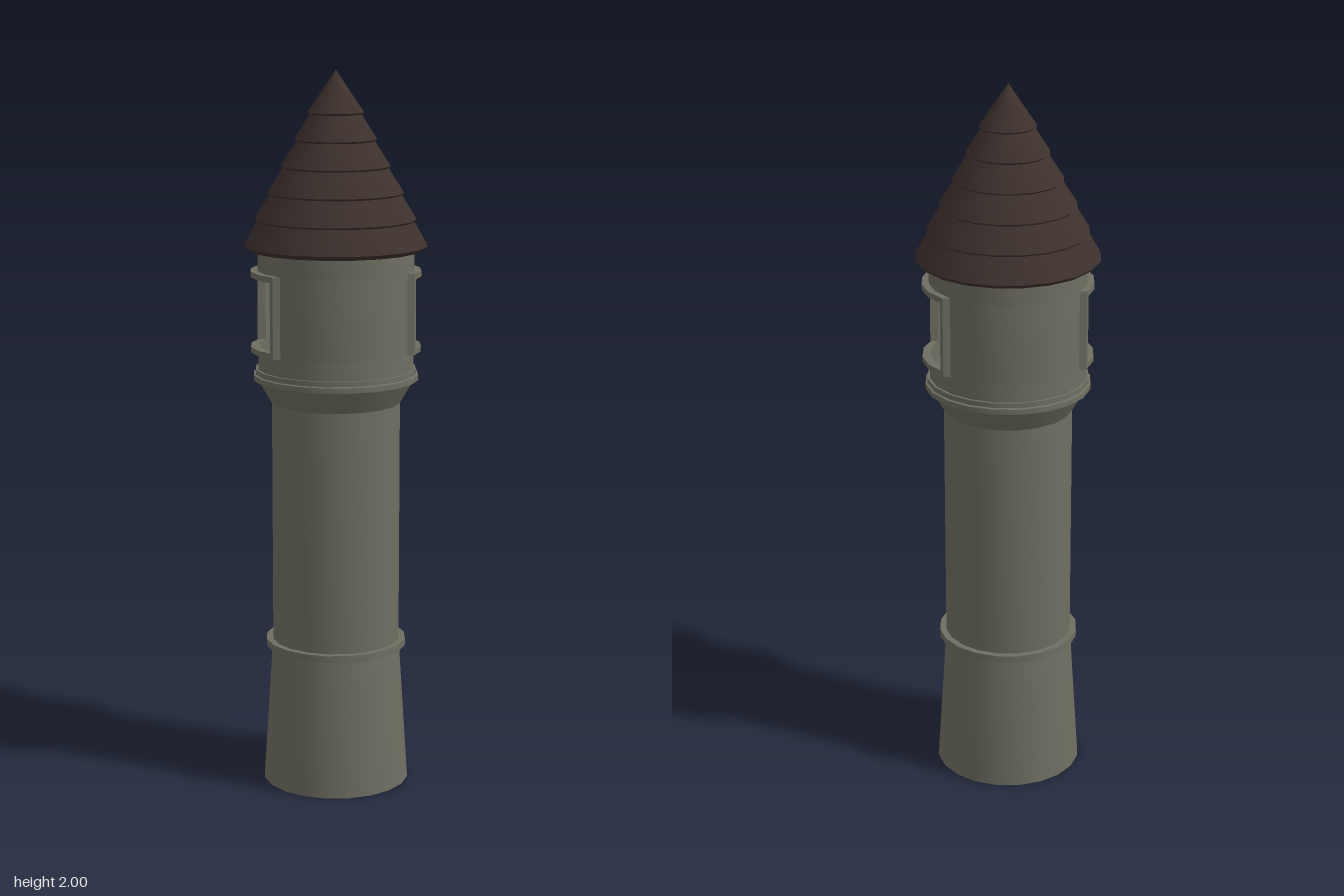
import * as THREE from 'three';
import { toCreasedNormals } from 'three/addons/utils/BufferGeometryUtils.js';

const SIDES = 20;
const STEP = (Math.PI * 2) / SIDES;
const R = 0.216; // watch room radius

const stone = new THREE.MeshStandardMaterial({ color: 0x6e6e62, side: THREE.DoubleSide });
const tiles = new THREE.MeshStandardMaterial({ color: 0x3d312d, side: THREE.DoubleSide });

// Revolve [radius, height] pairs over a number of facets, starting at a facet
function turned(name, profile, material = stone, start = 0, count = SIDES) {
  const points = profile.map(([r, y]) => new THREE.Vector2(r, y));
  const geometry = new THREE.LatheGeometry(points, count, start * STEP, count * STEP);
  const mesh = new THREE.Mesh(toCreasedNormals(geometry, 0.4), material);
  mesh.name = name;
  return mesh;
}

// Bar that follows the wall line [x, z] and sticks out along x
function wallBar(name, line, y0, y1) {
  const outer = line.map(([x, z]) => new THREE.Vector2(x + 0.02, z));
  const inner = line.map(([x, z]) => new THREE.Vector2(x - 0.003, z)).reverse();
  const geometry = new THREE.ExtrudeGeometry(new THREE.Shape([...outer, ...inner]), {
    depth: y1 - y0, bevelEnabled: false,
  });
  geometry.rotateX(-Math.PI / 2).translate(0, y0, 0);
  const mesh = new THREE.Mesh(geometry, stone);
  mesh.name = name;
  return mesh;
}

// Frame around one window, four facets wide
function windowFrame(name) {
  const frame = new THREE.Group();
  frame.name = name;
  const line = [-2, -1, 0, 1, 2].map((i) => [R * Math.cos(i * STEP), R * Math.sin(i * STEP)]);
  frame.add(wallBar('sill', line, 1.235, 1.25));
  frame.add(wallBar('lintel', line, 1.442, 1.458));
  for (const s of [-1, 1]) {
    const [x0, z0] = line[4];
    const [x1, z1] = line[3];
    const t = 0.2;
    const edge = [[x0 + (x1 - x0) * t, s * (z0 + (z1 - z0) * t)], [x0, s * z0]];
    frame.add(wallBar('jamb', edge, 1.25, 1.442));
  }
  return frame;
}

export function createModel() {
  const tower = new THREE.Group();
  tower.name = 'tower';

  // Flared foot, straight shaft and the corbel under the room
  tower.add(turned('base', [[0.206, 0], [0.18, 0.4]]));
  tower.add(turned('baseRing', [[0.176, 0.392], [0.197, 0.392], [0.197, 0.412], [0.176, 0.412]]));
  tower.add(turned('shaft', [[0.179, 0.4], [0.179, 1.09], [R, 1.155]]));
  tower.add(turned('corbelRing', [
    [0.21, 1.155], [0.229, 1.155], [0.229, 1.17], [0.223, 1.172], [0.223, 1.186], [0.21, 1.186],
  ]));

  // Watch room, open between its front and back walls
  tower.add(turned('roomLowerWall', [[R, 1.155], [R, 1.235]]));
  tower.add(turned('roomFrontWall', [[R, 1.235], [R, 1.458]], stone, -3, 6));
  tower.add(turned('roomBackWall', [[R, 1.235], [R, 1.458]], stone, 7, 6));
  tower.add(turned('roomUpperWall', [[R, 1.458], [R, 1.53]]));

  const leftWindow = windowFrame('leftWindow');
  const rightWindow = windowFrame('rightWindow');
  rightWindow.rotation.y = Math.PI;
  tower.add(leftWindow, rightWindow);

  // Overlapping tile courses, the last one ending in the point
  const radii = [0.253, 0.222, 0.187, 0.15, 0.113, 0.077];
  const roof = new THREE.Group();
  roof.name = 'roof';
  radii.forEach((r, i) => {
    const y = 1.526 + i * 0.072;
    const last = i === radii.length - 1;
    const top = last ? [0, 2] : [radii[i + 1] - 0.012, y + 0.076];
    roof.add(turned('tileCourse', [[r - 0.014, y - 0.012], [r, y], top], tiles));
  });
  tower.add(roof);

  return tower;
}
